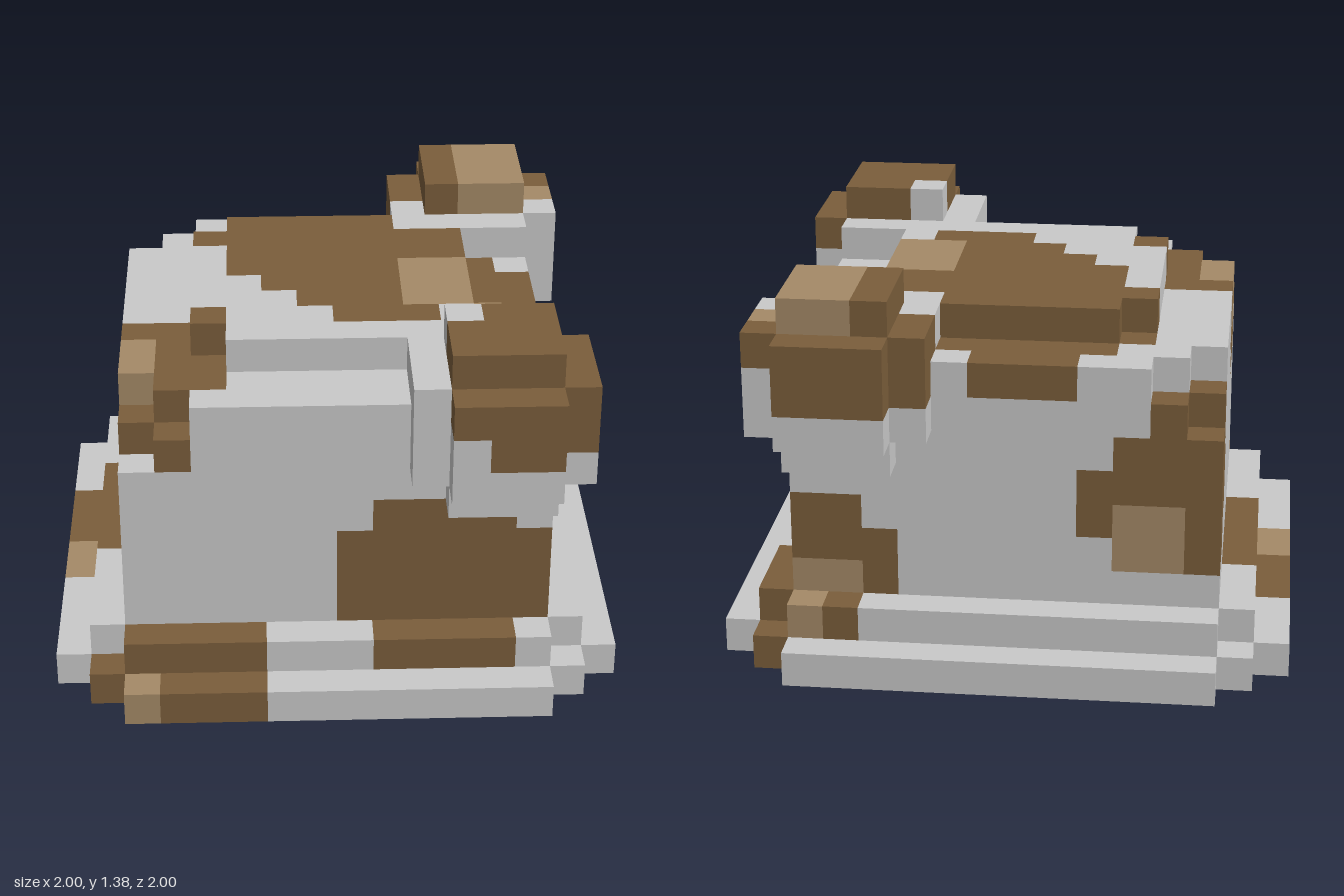
import * as THREE from 'three';
import { mergeGeometries } from 'three/addons/utils/BufferGeometryUtils.js';

// All boxes are [x0, x1, y0, y1, z0, z1] in blocks; one block is an eighth of a unit.
const U = 0.125;

// Outward directions with the turn that points a plane that way
const SIDES = [
  [1, 0, 0, 0, Math.PI / 2], [-1, 0, 0, 0, -Math.PI / 2],
  [0, 1, 0, -Math.PI / 2, 0], [0, -1, 0, Math.PI / 2, 0],
  [0, 0, 1, 0, 0], [0, 0, -1, 0, Math.PI],
];

const key = (x, y, z) => `${x},${y},${z}`;

function eachBlock([x0, x1, y0, y1, z0, z1], fn) {
  for (let x = x0; x < x1; x++)
    for (let y = y0; y < y1; y++)
      for (let z = z0; z < z1; z++) fn(x, y, z);
}

export function createModel() {
  const group = new THREE.Group();
  const blocks = new Map();

  const fill = (part, box) => eachBlock(box, (x, y, z) => {
    const k = key(x, y, z);
    if (!blocks.has(k)) blocks.set(k, { part, x, y, z, color: 'pale' });
  });

  // Slab with stepped corners, from overlapping half widths and half depths
  const slab = (part, y0, y1, ...halves) => halves.forEach(([w, d]) =>
    fill(part, [-w, w, y0, y1, -d, d]));

  // Colour the blocks in a box; a patch wider than two blocks loses its corners
  const paint = (color, ...boxes) => boxes.forEach((box) => {
    const atEnd = (v, a, b) => b - a > 2 && (v === a || v === b - 1);
    eachBlock(box, (...p) => {
      const ends = p.filter((v, i) => atEnd(v, box[2 * i], box[2 * i + 1])).length;
      const block = blocks.get(key(...p));
      if (block && ends < 2) block.color = color;
    });
  });

  // Stepped base, body and crown
  slab('baseStep', 0, 1, [8, 6], [7, 7], [6, 8]);
  slab('upperStep', 1, 2, [7, 6], [6, 7]);
  slab('body', 2, 7, [6, 6]);
  slab('shoulders', 7, 8, [6, 5], [5, 6]);
  slab('shoulders', 8, 9, [6, 4], [5, 5], [4, 6]);
  slab('crown', 9, 10, [4, 3], [3, 4]);

  // Rounded ears, mirrored front to back
  for (const [part, near] of [['frontEar', (a, b) => [a, b]], ['backEar', (a, b) => [-b, -a]]]) {
    fill(part, [3, 6, 6, 11, ...near(4, 7)]);
    fill(part, [2, 7, 7, 10, ...near(4, 7)]);
    fill(part, [3, 6, 7, 10, ...near(3, 8)]);
  }

  // Large patch on the crown, as spans of x row by row from the back
  [[-2, 1], [-3, 2], [-4, 2], [-4, 5], [-3, 6], [-3, 6], [-2, 6], [-1, 5], [0, 3]]
    .forEach(([x0, x1], i) => {
      for (let x = x0; x < x1; x++) paint('brown', [x, x + 1, 8, 10, i - 6, i - 5]);
    });
  paint('tan', [2, 4, 9, 10, -1, 2], [4, 5, 8, 9, 0, 1]);

  // Shoulder patch
  for (let z = 1; z < 6; z++) paint('brown', [-6, -4, 7, 9, z, z + 1]);
  paint('brown', [-4, -3, 8, 10, 2, 5], [-6, -5, 6, 7, 2, 5]);
  paint('tan', [-6, -5, 7, 9, 2, 4]);

  // Patches on the body corners
  paint('brown', [0, 6, 1, 6, 5, 7], [5, 6, 2, 5, 4, 6]);
  paint('brown', [5, 7, 0, 5, -7, -3], [3, 7, 1, 5, -7, -5], [6, 7, 0, 1, -7, -6]);
  paint('tan', [4, 6, 2, 3, -6, -5], [5, 6, 1, 2, -7, -6]);
  paint('brown', [-7, -2, 3, 7, -6, -5], [-6, -5, 3, 7, -7, -3], [-6, -4, 7, 8, -6, -4]);
  paint('tan', [-5, -3, 3, 5, -6, -5]);

  // Patches on the steps and the underside
  paint('brown', [-7, -2, 0, 2, 6, 8], [-8, -6, 0, 2, -3, 2]);
  paint('tan', [-6, -5, 0, 1, 7, 8], [-8, -7, 0, 1, 0, 2]);
  paint('brown', [3, 6, 0, 1, -6, -3], [1, 5, 0, 1, 3, 7], [-4, 2, 0, 1, -2, 2]);

  // Ear tips
  paint('brown', [3, 8, 9, 11, 4, 9], [4, 8, 8, 9, 5, 9]);
  paint('brown', [3, 4, 10, 11, -7, -4], [2, 6, 8, 10, -8, -6], [2, 7, 9, 10, -7, -5]);
  paint('tan', [4, 6, 10, 11, -7, -4], [6, 7, 9, 10, -6, -5]);

  const materials = {};
  for (const [name, color] of Object.entries({
    pale: 0xc9c9c9, brown: 0x7b5e3b, tan: 0xa58a67, black: 0x222222,
  })) {
    materials[name] = new THREE.MeshStandardMaterial({ color });
    materials[name].name = name;
  }

  // Keep only the outer faces, sorted by part and colour
  const squares = SIDES.map(([dx, dy, dz, rx, ry]) =>
    new THREE.PlaneGeometry(U, U).rotateX(rx).rotateY(ry)
      .translate((dx * U) / 2, (dy * U) / 2, (dz * U) / 2));
  const faces = {};
  for (const { part, x, y, z, color } of blocks.values())
    SIDES.forEach(([dx, dy, dz], i) => {
      if (blocks.has(key(x + dx, y + dy, z + dz))) return;
      const byColor = (faces[part] ??= {});
      (byColor[color] ??= []).push(
        squares[i].clone().translate((x + 0.5) * U, (y + 0.5) * U, (z + 0.5) * U));
    });

  // One mesh per part, with a material group for each colour
  for (const [part, byColor] of Object.entries(faces)) {
    const names = Object.keys(byColor);
    const geometry = mergeGeometries(names.map((n) => mergeGeometries(byColor[n])), true);
    const mesh = new THREE.Mesh(geometry, names.map((n) => materials[n]));
    mesh.name = part;
    group.add(mesh);
  }

  // Eyes, thin plates on the side between the ears
  for (const side of [1, -1]) {
    const eye = new THREE.Mesh(new THREE.BoxGeometry(0.008, 0.25, 0.12), materials.black);
    eye.position.set(0.752, 0.625, side * 0.3125);
    eye.name = side > 0 ? 'frontEye' : 'backEye';
    group.add(eye);
  }
  return group;
}
